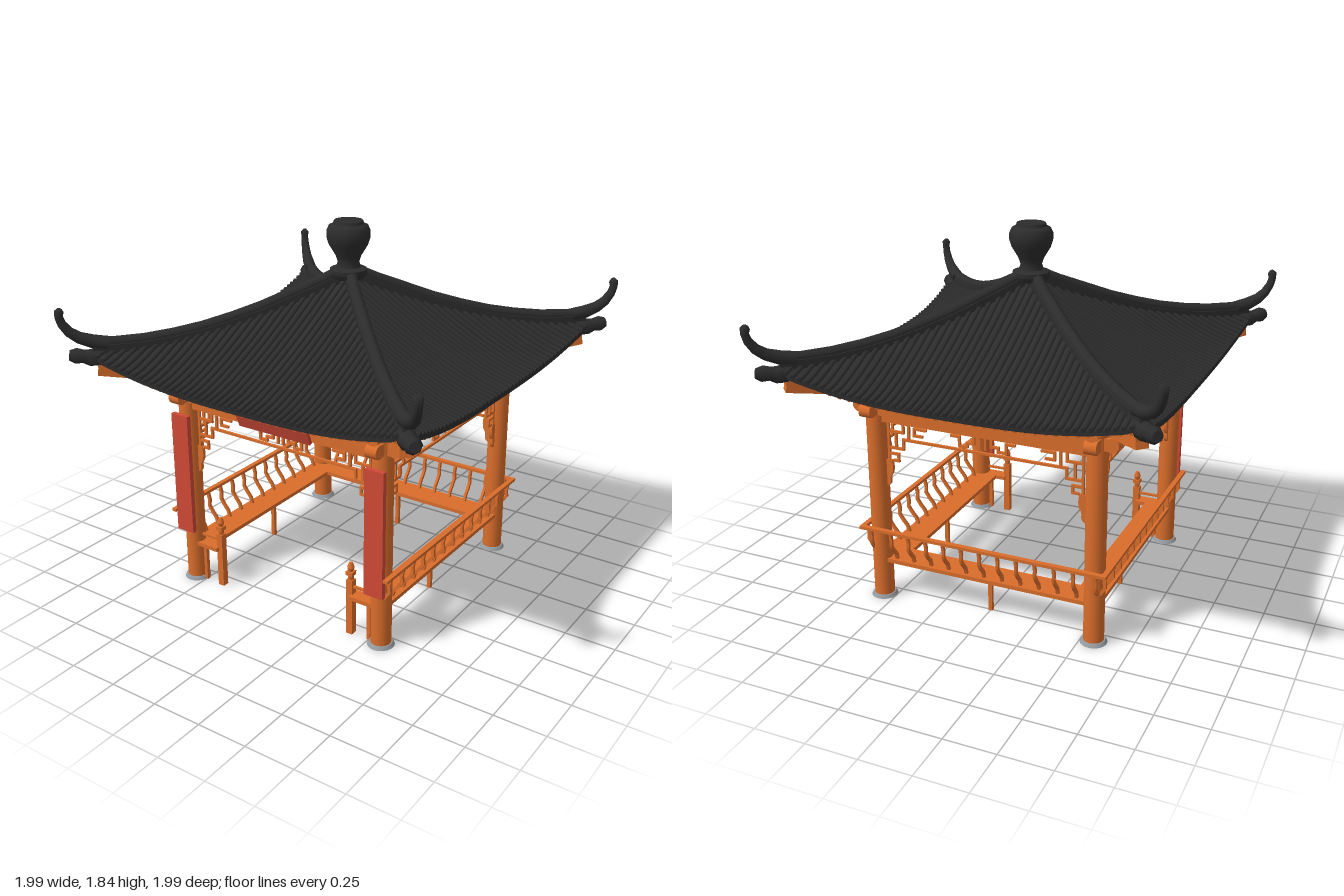
import * as THREE from 'three';
import { mergeGeometries, toCreasedNormals } from 'three/addons/utils/BufferGeometryUtils.js';

const wood = new THREE.MeshStandardMaterial({ color: 0xd96d2b, side: THREE.DoubleSide });
wood.name = 'orange wood';
const tile = new THREE.MeshStandardMaterial({ color: 0x2c2c2c, side: THREE.DoubleSide });
tile.name = 'black tile';
const red = new THREE.MeshStandardMaterial({ color: 0xcf4a36 });
red.name = 'red board';
const stone = new THREE.MeshStandardMaterial({ color: 0x959a9f });
stone.name = 'grey stone';

const COL = 0.565; // column distance from the centre

function clean(g) {
  const n = g.index ? g.toNonIndexed() : g;
  n.deleteAttribute('uv');
  return n;
}
const box = (w, h, d, x, y, z) => clean(new THREE.BoxGeometry(w, h, d).translate(x, y, z));
const post = (r1, r2, y0, y1, x = 0, z = 0, n = 20) =>
  clean(new THREE.CylinderGeometry(r2, r1, y1 - y0, n).translate(x, (y0 + y1) / 2, z));
const logX = (r, len, y, z) =>
  clean(new THREE.CylinderGeometry(r, r, len, 16).rotateZ(Math.PI / 2).translate(0, y, z));
// thin lattice bar between two points in the xy plane
const bar = (x1, y1, x2, y2, z, t = 0.012) =>
  box(Math.abs(x2 - x1) + t, Math.abs(y2 - y1) + t, t, (x1 + x2) / 2, (y1 + y2) / 2, z);

function add(parent, name, geos, mat) {
  const mesh = new THREE.Mesh(mergeGeometries([].concat(geos)), mat);
  mesh.name = name;
  parent.add(mesh);
  return mesh;
}

// sweeps a closed section along a path [z, y, scale] lying in a vertical plane
function sweep(path, section, x = 0) {
  const rings = path.map(([z, y, s = 1], i) => {
    const a = path[Math.max(0, i - 1)], b = path[Math.min(path.length - 1, i + 1)];
    const dz = b[0] - a[0], dy = b[1] - a[1], l = Math.hypot(dz, dy);
    return section.map(([p, q]) => [x + p * s, y + (q * s * dz) / l, z - (q * s * dy) / l]);
  });
  const n = section.length, last = rings.length - 1, v = [];
  for (let j = 0; j < n; j++) {
    const k = (j + 1) % n;
    for (let i = 0; i < last; i++) {
      const a = rings[i], b = rings[i + 1];
      v.push(...a[j], ...a[k], ...b[k], ...a[j], ...b[k], ...b[j]);
    }
    v.push(x, path[0][1], path[0][0], ...rings[0][k], ...rings[0][j]);
    v.push(x, path[last][1], path[last][0], ...rings[last][j], ...rings[last][k]);
  }
  const g = new THREE.BufferGeometry();
  g.setAttribute('position', new THREE.Float32BufferAttribute(v, 3));
  return toCreasedNormals(g, 1.1);
}
const rect = (w, h) => [[-w, -h], [w, -h], [w, h], [-w, h]];
const round = (r, n) => Array.from({ length: n }, (_, i) =>
  [r * Math.cos((i * 2 * Math.PI) / n), r * Math.sin((i * 2 * Math.PI) / n)]);

// roof surface: eave distance and height, with the corners swept out and up
const eave = t => 0.86 + 0.05 * t ** 3 - Math.max(0, t - 0.92) * 0.5;
const lift = (t, u) => 1.15 + 0.42 * (1 - u) ** 1.3 + 0.12 * t ** 3 * u * u;
function height(x, d) {
  const t = Math.min(1, Math.abs(x) / d);
  return lift(t, Math.min(1, d / eave(t)));
}
function slopeLine(x, drop, inset, steps) {
  let end = 0.87;
  for (let i = 0; i < 6; i++) end = eave(Math.min(1, Math.abs(x) / end));
  const start = Math.max(Math.abs(x), 0.04);
  end = Math.max(end - inset, start + 0.01);
  return Array.from({ length: steps + 1 }, (_, i) => {
    const d = start + ((end - start) * i) / steps;
    return [d, height(x, d) + drop];
  });
}
function skin(rule, nt, nu) {
  const g = new THREE.PlaneGeometry(2, 1, nt, nu).rotateX(-Math.PI / 2);
  const p = g.attributes.position;
  for (let i = 0; i < p.count; i++) p.setXYZ(i, ...rule(p.getX(i), p.getZ(i) + 0.5));
  g.computeVertexNormals();
  return clean(g);
}
const roofPoint = (t, u, drop) => {
  const a = Math.abs(t), d = u * eave(a);
  return [t * d, lift(a, u) + drop, d];
};

function roofSide() {
  const g = new THREE.Group();
  add(g, 'roofSheet', [skin((t, u) => roofPoint(t, u, 0), 40, 14),
    skin((t, v) => roofPoint(t, 1, -0.022 * v), 40, 1)], tile);
  add(g, 'soffit', skin((t, u) => roofPoint(t, u, -0.022), 40, 14), wood);
  const rolls = [], rafters = [];
  for (let i = -23; i <= 23; i++) rolls.push(sweep(slopeLine(i * 0.036, 0.004, -0.004, 8), round(0.012, 6), i * 0.036));
  for (let i = -17; i <= 17; i++) rafters.push(sweep(slopeLine(i * 0.048, -0.032, 0.02, 6), round(0.012, 6), i * 0.048));
  add(g, 'tileRolls', rolls, tile);
  add(g, 'rafters', rafters, wood);
  return g;
}

function beamSide() {
  const g = new THREE.Group(), ends = [];
  for (const s of [-1, 1]) {
    ends.push(box(0.08, 0.06, 0.06, s * 0.605, 1.02, COL));
    ends.push(clean(new THREE.CylinderGeometry(0.034, 0.034, 0.06, 14).rotateX(Math.PI / 2).translate(s * 0.64, 1.02, COL)));
  }
  add(g, 'tieBeam', [box(1.06, 0.035, 0.05, 0, 0.968, COL), box(1.1, 0.065, 0.075, 0, 1.018, COL)], wood);
  add(g, 'beamEnds', ends, wood);
  add(g, 'eavePurlin', [logX(0.036, 1.32, 1.085, COL), logX(0.045, 1.2, 1.165, COL)], wood);
  add(g, 'innerRingBeam', [logX(0.035, 0.7, 1.32, 0.3), box(0.64, 0.05, 0.04, 0, 1.265, 0.3)], wood);

  // hanging fretwork, mirrored about the middle
  const fret = [
    [0, 0.865, 0.42, 0.865], [0.015, 0.95, 0.015, 0.89], [0.045, 0.95, 0.045, 0.905], [0.045, 0.905, 0.08, 0.905],
    [0.08, 0.905, 0.08, 0.885], [0.08, 0.885, 0.12, 0.885], [0.12, 0.885, 0.12, 0.93], [0.12, 0.93, 0.16, 0.93],
    [0.3, 0.93, 0.36, 0.93], [0.36, 0.93, 0.36, 0.895], [0.36, 0.895, 0.32, 0.895], [0.39, 0.95, 0.39, 0.865],
    [0.5, 0.95, 0.5, 0.66], [0.42, 0.865, 0.42, 0.815], [0.42, 0.815, 0.49, 0.815], [0.46, 0.815, 0.46, 0.9],
    [0.42, 0.9, 0.5, 0.9], [0.42, 0.9, 0.42, 0.935], [0.45, 0.785, 0.5, 0.785], [0.45, 0.785, 0.45, 0.75],
    [0.45, 0.75, 0.475, 0.75]];
  const bars = [];
  for (const s of [-1, 1]) for (const [a, b, c, d] of fret) bars.push(bar(s * a, b, s * c, d, COL));
  add(g, 'hangingFretwork', bars, wood);
  const outline = new THREE.Shape();
  outline.moveTo(0.515, 0.61);
  outline.quadraticCurveTo(0.488, 0.62, 0.498, 0.66);
  outline.quadraticCurveTo(0.47, 0.69, 0.485, 0.75);
  outline.lineTo(0.515, 0.75);
  const bracket = clean(new THREE.ExtrudeGeometry(outline, { depth: 0.016, bevelEnabled: false }).translate(0, 0, COL - 0.008));
  add(g, 'fretBracket', [bracket, bracket.clone().rotateY(Math.PI).translate(0, 0, 2 * COL)], wood);
  return g;
}

function benchSide() {
  const g = new THREE.Group(), balusters = [];
  add(g, 'benchSeat', box(1.07, 0.02, 0.14, 0, 0.208, 0.525), wood);
  add(g, 'benchLeg', box(0.02, 0.2, 0.02, 0, 0.1, 0.5), wood);
  const curve = [[0.57, 0.215], [0.58, 0.25], [0.605, 0.28], [0.625, 0.31], [0.622, 0.345], [0.632, 0.385]];
  for (let i = -5; i <= 5; i++) balusters.push(sweep(curve, rect(0.007, 0.008), i * 0.096));
  for (const x of [-0.59, 0.59]) balusters.push(sweep(curve, rect(0.007, 0.008), x));
  add(g, 'balusters', balusters, wood);
  add(g, 'backRail', box(1.29, 0.015, 0.025, 0, 0.39, 0.633), wood);
  return g;
}

function cornerParts() {
  // built along +z, then turned onto the diagonal
  const g = new THREE.Group(), k = Math.SQRT2;
  const diag = pts => pts.map(([s, y, w]) => [s * k, y, w]);
  const ridge = [[-0.027, -0.06], [0.027, -0.06], [0.027, -0.005], [0.019, -0.005], [0.019, 0.008], [0.026, 0.008],
    [0.022, 0.024], [0, 0.032], [-0.022, 0.024], [-0.026, 0.008], [-0.019, 0.008], [-0.019, -0.005], [-0.027, -0.005]];
  add(g, 'hipRidge', sweep(diag([[0.03, 1.59, 1], [0.1, 1.545, 1], [0.2, 1.49, 1], [0.3, 1.435, 1], [0.4, 1.39, 1],
    [0.5, 1.352, 1], [0.6, 1.325, 1], [0.7, 1.307, 1], [0.8, 1.302, 0.95], [0.87, 1.312, 0.8]]), ridge), tile);
  add(g, 'ridgeHorn', sweep(diag([[0.82, 1.3, 1], [0.87, 1.312, 1], [0.915, 1.335, 0.85], [0.945, 1.365, 0.75],
    [0.966, 1.405, 0.65], [0.974, 1.44, 0.6], [0.972, 1.465, 0.7], [0.968, 1.48, 0.35]]), round(0.033, 10)), tile);
  add(g, 'cornerTileHead', sweep(diag([[0.82, 1.235, 0.7], [0.855, 1.235, 1.1], [0.885, 1.232, 1], [0.905, 1.24, 0.8],
    [0.93, 1.245, 0.95], [0.952, 1.25, 0.6]]), round(0.042, 8)), tile);
  const hip = Array.from({ length: 11 }, (_, i) => 0.04 + i * 0.082).map(s => [s, height(s, s) - 0.06]);
  add(g, 'hipBeam', sweep(diag(hip), rect(0.028, 0.038)), wood);
  add(g, 'cornerBeam', sweep(diag([[0.45, 1.1], [0.62, 1.13], [0.75, 1.155], [0.86, 1.18]]), rect(0.03, 0.032)), wood);
  add(g, 'angleBeam', box(0.84, 0.075, 0.07, 0, 1.1, 0.4), wood);
  add(g, 'shortPost', post(0.03, 0.03, 1.1, 1.33, 0, 0.3 * k), wood);
  const column = new THREE.Group();
  column.name = 'column';
  add(column, 'columnShaft', post(0.05, 0.05, 0.01, 1.08, 0, COL * k, 24), wood);
  add(column, 'columnCap', post(0.05, 0.068, 1.05, 1.13, 0, COL * k, 24), wood);
  add(column, 'columnBase', post(0.066, 0.056, 0, 0.016, 0, COL * k, 24), stone);
  g.add(column);
  return g;
}

export function createModel() {
  const model = new THREE.Group();
  model.name = 'pavilion';
  const repeat = (name, part, turns, offset = 0) => turns.forEach(i => {
    const copy = part.clone();
    copy.name = name;
    copy.rotation.y = (i * Math.PI) / 2 + offset;
    model.add(copy);
  });
  repeat('roofSide', roofSide(), [0, 1, 2, 3]);
  repeat('beamSide', beamSide(), [0, 1, 2, 3]);
  repeat('corner', cornerParts(), [0, 1, 2, 3], Math.PI / 4);
  repeat('bench', benchSide(), [1, 2, 3]);

  // finial on the roof and the king post below it
  const profile = [[0, 1.56], [0.075, 1.56], [0.092, 1.585], [0.09, 1.605], [0.06, 1.615], [0.052, 1.64], [0.062, 1.67],
    [0.095, 1.725], [0.106, 1.76], [0.106, 1.79], [0.095, 1.815], [0.075, 1.825], [0.07, 1.84], [0, 1.838]];
  const finial = new THREE.LatheGeometry(profile.map(p => new THREE.Vector2(...p)), 28);
  add(model, 'finial', toCreasedNormals(clean(finial), 0.7), tile);
  add(model, 'kingPost', post(0.035, 0.045, 1.33, 1.55), wood);

  for (const s of [-1, 1]) {
    // upright boards on the front columns
    add(model, 'columnBoard', box(0.1, 0.635, 0.025, s * COL, 0.607, 0.628), red);
    // entrance posts with short side pieces
    add(model, 'entrancePost', [box(0.034, 0.29, 0.034, s * 0.395, 0.145, COL), post(0.013, 0.017, 0.29, 0.32, s * 0.395, COL, 10),
      box(0.036, 0.02, 0.036, s * 0.395, 0.325, COL), post(0.012, 0.018, 0.335, 0.355, s * 0.395, COL, 10),
      post(0.018, 0.009, 0.355, 0.38, s * 0.395, COL, 10)], wood);
    add(model, 'entranceSeat', [box(0.13, 0.02, 0.07, s * 0.465, 0.208, COL), bar(s * 0.41, 0.255, s * 0.52, 0.255, COL),
      box(0.018, 0.2, 0.02, s * 0.5, 0.1, COL)], wood);
  }
  // name board leaning forward over the entrance
  const board = add(model, 'headBoard', box(0.41, 0.15, 0.018, 0, 0, 0), red);
  board.position.set(0, 1.02, 0.635);
  board.rotation.x = 0.38;
  return model;
}
